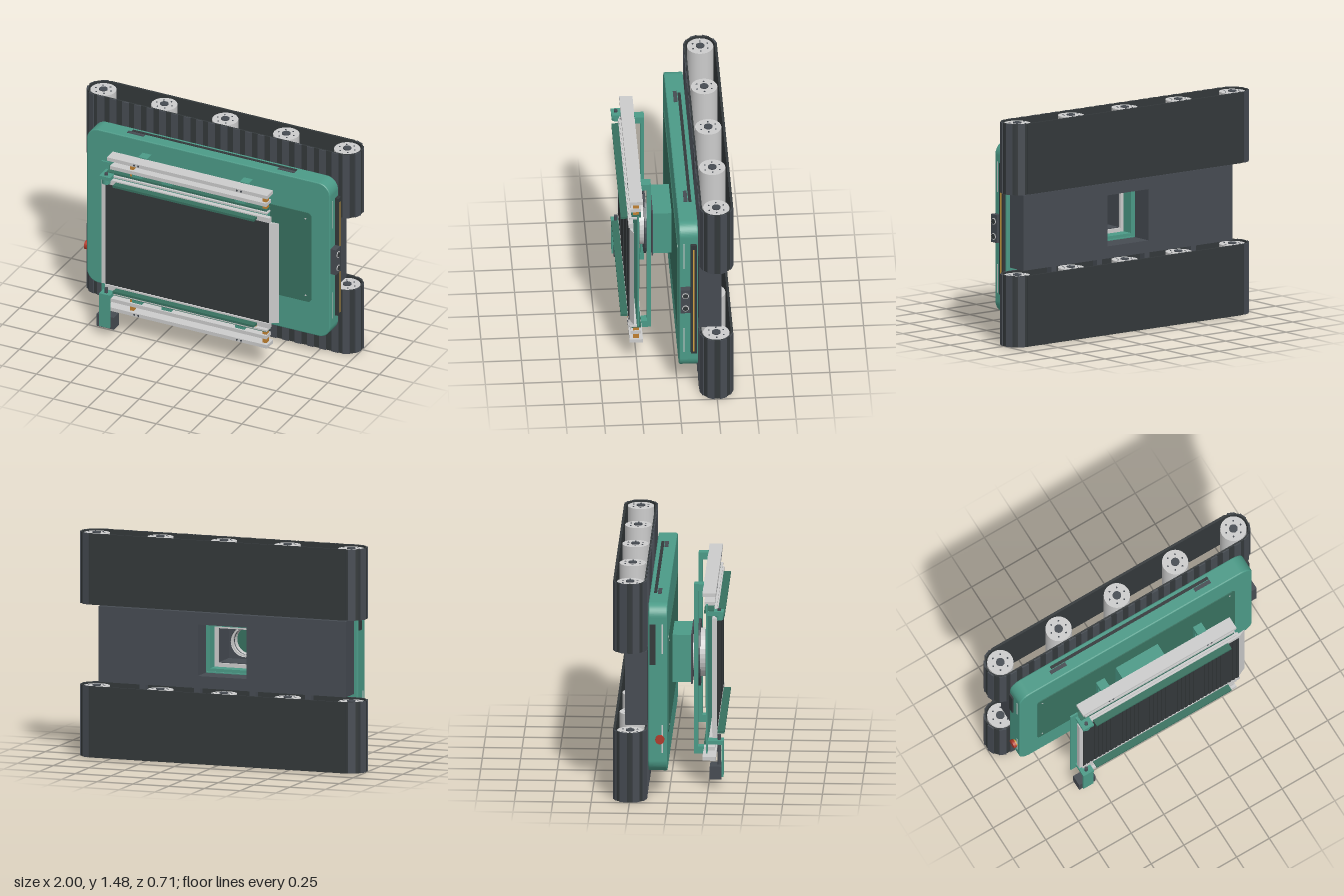
import * as THREE from 'three';

const GREEN = 0x4b9a87, DARKGREEN = 0x37705f, DARK = 0x33383a, SLATE = 0x464b52, GREY = 0xcccccc,
  ORANGE = 0xc08030, RED = 0xb03a2a, YELLOW = 0xd0a040;
const CY = 0.74; // mid height, the mirror plane of the machine

const mats = {};
const mat = (c) => (mats[c] ??= new THREE.MeshStandardMaterial({ color: c }));

export function createModel() {
  const root = new THREE.Group();
  const add = (name, geo, color) => {
    const m = new THREE.Mesh(geo, mat(color));
    m.name = name;
    root.add(m);
    return m;
  };
  const box = (name, color, x0, x1, y0, y1, z0, z1) =>
    add(name, new THREE.BoxGeometry(x1 - x0, y1 - y0, z1 - z0), color)
      .position.set((x0 + x1) / 2, (y0 + y1) / 2, (z0 + z1) / 2);
  // the same box above and below the mid plane
  const pair = (name, color, x0, x1, y0, y1, z0, z1) => {
    box(name, color, x0, x1, y0, y1, z0, z1);
    box(name, color, x0, x1, 2 * CY - y1, 2 * CY - y0, z0, z1);
  };
  // cylinder between two values along the axis 'x', 'y' or 'z'
  const rod = (name, color, axis, r, a, b, p, q, n = 32) => {
    const geo = new THREE.CylinderGeometry(r, r, b - a, n), m = (a + b) / 2;
    if (axis === 'x') geo.rotateZ(-Math.PI / 2).translate(m, p, q);
    if (axis === 'y') geo.translate(p, m, q);
    if (axis === 'z') geo.rotateX(Math.PI / 2).translate(p, q, m);
    add(name, geo, color);
  };
  const roundRect = (x0, x1, y0, y1, r) => {
    const s = new THREE.Shape();
    s.absarc(x1 - r, y1 - r, r, 0, Math.PI / 2);
    s.absarc(x0 + r, y1 - r, r, Math.PI / 2, Math.PI);
    s.absarc(x0 + r, y0 + r, r, Math.PI, Math.PI * 1.5);
    s.absarc(x1 - r, y0 + r, r, Math.PI * 1.5, Math.PI * 2);
    return s;
  };
  const squareHole = (h) => new THREE.Path([[-h, -h], [-h, h], [h, h], [h, -h]]
    .map(([x, y]) => new THREE.Vector2(x, CY + y)));
  const circleHole = (r) => new THREE.Path().absarc(0, CY, r, 0, Math.PI * 2, true);
  const plate = (name, color, shape, z0, z1, hole, bevel = 0) => {
    shape.holes.push(hole);
    const geo = new THREE.ExtrudeGeometry(shape, {
      depth: z1 - z0 - 2 * bevel, bevelEnabled: bevel > 0, bevelSize: bevel, bevelThickness: bevel,
      bevelOffset: -bevel, bevelSegments: 3, curveSegments: 16,
    });
    add(name, geo.translate(0, 0, z0 + bevel), color);
  };
  const rect = (x0, x1, y0, y1) => new THREE.Shape([[x0, y0], [x1, y0], [x1, y1], [x0, y1]]
    .map(([x, y]) => new THREE.Vector2(x, y)));
  const square = (h) => rect(-h, h, CY - h, CY + h);
  const disc = (r) => new THREE.Shape().absarc(0, CY, r, 0, Math.PI * 2);

  // --- crawler tracks: hollow stadium belts, cleats on the ends and the inner run
  const L = 0.89, ZC = -0.25, R = 0.105;
  const stadium = (path, r, cw) => {
    const a = Math.PI / 2;
    path.absarc(cw ? -L : L, 0, r, cw ? -a : -a, cw ? -3 * a : a, cw);
    path.absarc(cw ? L : -L, 0, r, a, cw ? -a : 3 * a, cw);
    path.closePath();
    return path;
  };
  for (const [y0, y1] of [[0, 0.47], [1.01, 1.48]]) {
    const shape = stadium(new THREE.Shape(), R, false);
    shape.holes.push(stadium(new THREE.Path(), 0.094, true));
    const geo = new THREE.ExtrudeGeometry(shape, { depth: y1 - y0, bevelEnabled: false, curveSegments: 24 });
    add('trackBelt', geo.rotateX(-Math.PI / 2).translate(0, y0, ZC), DARK);
    box('groundPad', DARK, -L, L, y0, y1, ZC - 0.11, ZC - R + 0.002);
    const cleat = (x, z, turn) => {
      const m = add('trackCleat', new THREE.BoxGeometry(0.048, y1 - y0, 0.014), SLATE);
      m.position.set(x, (y0 + y1) / 2, z);
      m.rotation.y = turn;
    };
    for (let i = 0; i < 20; i++) cleat(-0.855 + i * 0.09, ZC + R, 0);
    for (const s of [-1, 1]) for (let k = 0; k < 4; k++) {
      const a = Math.PI * (0.125 + k * 0.25); // angle from the inner run round to the ground run
      cleat(s * (L + 0.102 * Math.sin(a)), ZC + 0.102 * Math.cos(a), s * a);
    }
    for (let i = 0; i < 5; i++) {
      const x = -0.89 + i * 0.445;
      rod('trackWheel', GREY, 'y', 0.086, y0 + 0.01, y1 - 0.01, x, ZC);
      rod('wheelHub', SLATE, 'y', 0.028, y0 + 0.003, y1 - 0.003, x, ZC, 20);
      for (let k = 0; k < 6; k++) {
        const a = (k * Math.PI) / 3;
        rod('wheelBolt', SLATE, 'y', 0.006, y0 + 0.008, y1 - 0.008,
          x + 0.055 * Math.cos(a), ZC + 0.055 * Math.sin(a), 8);
      }
    }
  }

  // --- chassis between the tracks, with its struts
  plate('chassis', SLATE, rect(-0.865, 0.865, 0.49, 0.99), -0.285, -0.14, squareHole(0.17));
  for (const x of [-0.58, -0.195, 0.195, 0.575])
    pair('trackStrut', SLATE, x - 0.021, x + 0.021, 0.98, 1.05, -0.235, -0.19);

  // --- main body and its fittings
  plate('body', GREEN, roundRect(-0.89, 0.885, 0.17, 1.31, 0.085), -0.132, -0.008, squareHole(0.158), 0.008);
  plate('frontPanel', DARKGREEN, roundRect(-0.755, 0.75, 0.41, 1.07, 0.025), -0.012, -0.002, squareHole(0.158));
  for (const x of [-0.72, 0.71]) for (const y of [0.455, 1.025])
    rod('panelScrew', GREY, 'z', 0.006, -0.006, 0, x, y, 10);
  pair('sideStrip', DARK, -0.6, 0.6, 1.305, 1.314, -0.105, -0.085);
  for (const x of [-0.56, 0.54]) pair('sidePort', SLATE, x - 0.06, x + 0.06, 1.305, 1.314, -0.08, -0.055);
  box('bumper', DARK, 0.87, 0.91, 0.31, 1.18, -0.122, -0.083);
  box('bumperStripe', YELLOW, 0.9, 0.913, 0.33, 1.15, -0.108, -0.098);
  box('rearBumper', DARK, -0.902, -0.88, 0.91, 1.18, -0.122, -0.083);
  for (const x of [-0.888, 0.883]) for (const [y0, y1] of [[0.31, 0.5], [0.98, 1.18]])
    box('endLight', GREY, x - 0.005, x + 0.005, y0, y1, -0.043, -0.035);
  box('sensorBox', SLATE, 0.87, 0.925, 0.65, 0.835, -0.08, -0.015);
  for (const y of [0.69, 0.79]) {
    rod('sensorRing', GREY, 'x', 0.022, 0.92, 0.929, y, -0.047, 20);
    rod('sensorLens', DARK, 'x', 0.017, 0.92, 0.931, y, -0.047, 20);
  }
  rod('stopBase', YELLOW, 'x', 0.024, -0.905, -0.88, 0.405, -0.055, 20);
  rod('stopButton', RED, 'x', 0.03, -0.92, -0.9, 0.405, -0.055, 20);

  // --- hollow column with its inner duct, and the turntable
  plate('column', GREEN, square(0.16), -0.14, 0.12, squareHole(0.14));
  plate('ductRim', GREY, square(0.141), -0.06, -0.045, squareHole(0.115));
  plate('duct', SLATE, square(0.125), -0.045, 0.12, squareHole(0.11));
  plate('columnFlange', SLATE, square(0.17), 0.12, 0.13, circleHole(0.1));
  plate('bearingLower', GREY, disc(0.12), 0.13, 0.145, circleHole(0.1));
  plate('bearingUpper', GREY, disc(0.105), 0.145, 0.165, circleHole(0.09));
  plate('turntable', SLATE, disc(0.22), 0.165, 0.178, circleHole(0.09));
  plate('turntableDrum', GREY, disc(0.16), 0.178, 0.224, circleHole(0.09));

  // --- carrying frame above the turntable
  box('mountPlate', DARKGREEN, -0.4, 0.4, 0.48, 1.0, 0.223, 0.236);
  box('deckPlate', GREEN, -0.655, 0.57, 0.29, 1.19, 0.235, 0.246);
  pair('deckEar', GREEN, -0.655, -0.6, 1.18, 1.24, 0.235, 0.246);
  for (const x of [-0.37, 0.37]) {
    box('crossBar', GREEN, x - 0.032, x + 0.032, 0.17, 1.31, 0.148, 0.173);
    pair('crossBarEnd', GREEN, x - 0.032, x + 0.032, 1.268, 1.315, 0.148, 0.212);
  }
  for (const x of [-0.38, -0.165, 0.37])
    pair('railSpacer', GREEN, x - 0.035, x + 0.035, 1.19, 1.225, 0.23, 0.278);

  // --- telescopic rails on both long sides
  pair('outerRail', GREY, -0.59, 0.58, 1.283, 1.308, 0.21, 0.297);
  pair('middleRail', GREY, -0.57, 0.57, 1.22, 1.245, 0.222, 0.29);
  pair('innerRail', DARKGREEN, -0.6, 0.57, 1.175, 1.195, 0.222, 0.285);
  pair('innerRailLip', GREY, -0.6, 0.58, 1.17, 1.182, 0.25, 0.3);
  for (const x of [-0.42, 0.55]) {
    pair('railRoller', ORANGE, x - 0.014, x + 0.014, 1.243, 1.285, 0.236, 0.274);
    pair('railRoller', ORANGE, x - 0.014, x + 0.014, 1.193, 1.222, 0.236, 0.274);
  }
  for (const x of [-0.39, -0.36, 0.36, 0.39]) for (const y of [1.295, 2 * CY - 1.295])
    rod('railBolt', SLATE, 'z', 0.007, 0.29, 0.3, x, y, 8);
  for (let i = 0; i < 5; i++)
    box('contactBlock', ORANGE, 0.38 + i * 0.027, 0.4 + i * 0.027, 0.325, 0.345, 0.285, 0.31);

  // --- conveyor bed with ribbed belt
  box('conveyorBed', GREY, -0.6, 0.6, 0.365, 1.115, 0.272, 0.298);
  pair('bedEdge', GREY, -0.6, 0.6, 1.115, 1.15, 0.275, 0.306);
  box('bedEnd', GREY, -0.625, -0.597, 0.37, 1.15, 0.275, 0.306);
  box('beltSheet', DARK, -0.597, 0.597, 0.37, 1.11, 0.296, 0.301);
  for (let i = 0; i < 40; i++) {
    const x = -0.585 + i * 0.03;
    box('beltRib', DARK, x - 0.01, x + 0.01, 0.37, 1.11, 0.3, 0.305);
  }
  pair('sideGuide', DARKGREEN, -0.52, 0.51, 1.126, 1.142, 0.3, 0.352);
  // wedge lip at the loading end
  const lip = new THREE.Shape([[0.597, -0.3], [0.655, -0.272], [0.597, -0.278]]
    .map(([x, y]) => new THREE.Vector2(x, y)));
  add('loadingLip', new THREE.ExtrudeGeometry(lip, { depth: 0.74, bevelEnabled: false })
    .rotateX(-Math.PI / 2).translate(0, 0.37, 0), GREY);

  // --- drive motor arm and the bearings of the roller
  pair('shaftBracket', GREEN, -0.62, -0.54, 1.165, 1.19, 0.24, 0.35);
  rod('driveShaft', SLATE, 'y', 0.012, 0.14, 0.35, -0.582, 0.32, 16);
  rod('idlerShaft', SLATE, 'y', 0.012, 1.13, 1.205, -0.582, 0.32, 16);
  rod('shaftBearing', GREEN, 'y', 0.027, 1.13, 1.185, -0.582, 0.32, 20);
  box('driveArm', GREEN, -0.62, -0.545, 0.07, 0.315, 0.335, 0.348);
  box('driveMotor', SLATE, -0.645, -0.52, 0.06, 0.148, 0.26, 0.336);
  return root;
}
